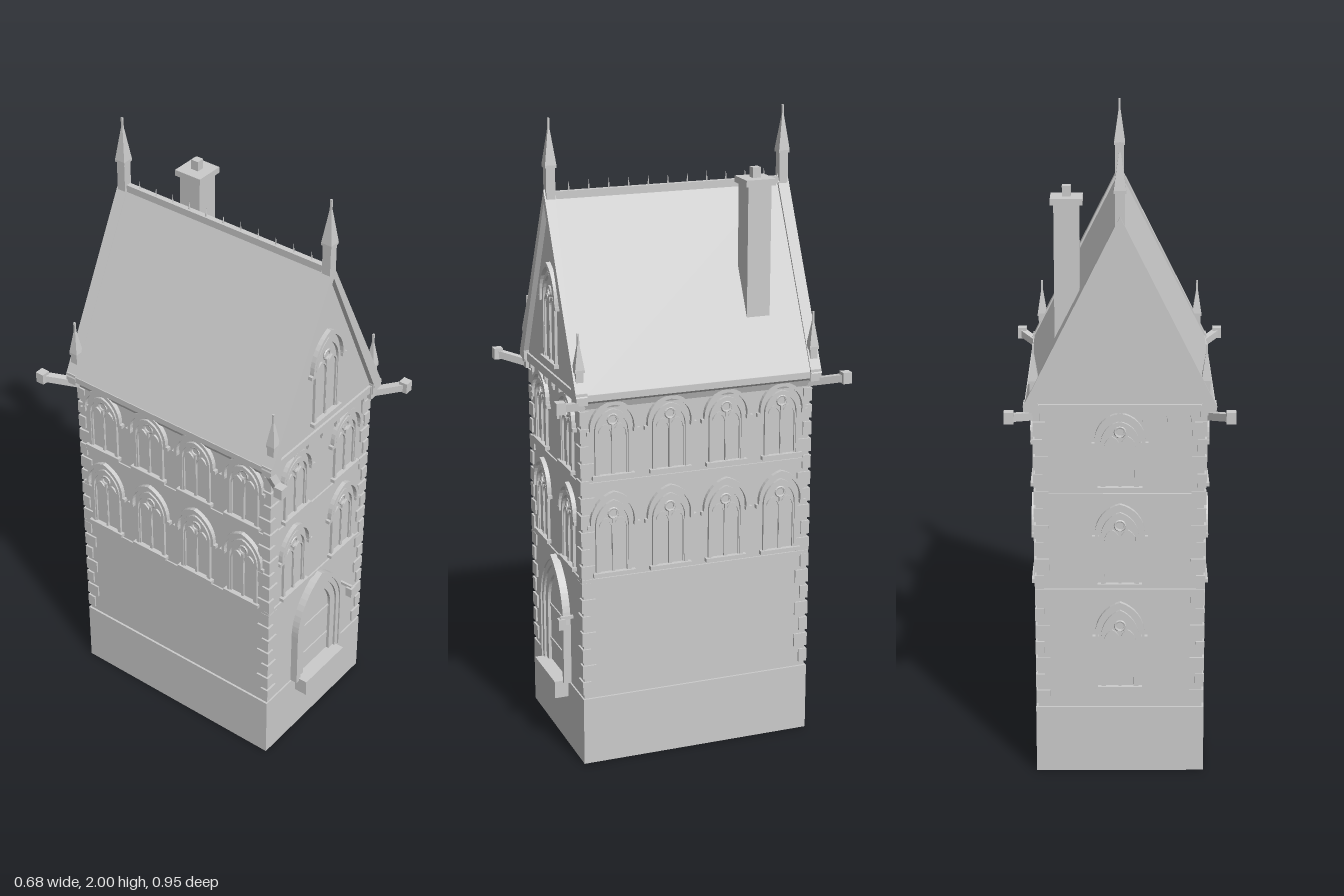
import * as THREE from 'three';

const mat = new THREE.MeshStandardMaterial({ color: 0xcccccc, flatShading: true });
const matDouble = new THREE.MeshStandardMaterial({ color: 0xcccccc, flatShading: true, side: THREE.DoubleSide });
const HX = 0.255, HZ = 0.375; // wall half sizes

function add(parent, name, geo, x = 0, y = 0, z = 0, m = mat) {
  const mesh = new THREE.Mesh(geo, m);
  mesh.name = name;
  mesh.position.set(x, y, z);
  parent.add(mesh);
  return mesh;
}

// Box given by its limits
function box(parent, name, x0, x1, y0, y1, z0, z1) {
  return add(parent, name, new THREE.BoxGeometry(x1 - x0, y1 - y0, z1 - z0),
    (x0 + x1) / 2, (y0 + y1) / 2, (z0 + z1) / 2);
}

function extrude(parent, name, shape, z0, z1) {
  const geo = new THREE.ExtrudeGeometry(shape, { depth: z1 - z0, bevelEnabled: false });
  return add(parent, name, geo, 0, 0, z0);
}

const poly = (pts) => new THREE.Shape(pts.map(([x, y]) => new THREE.Vector2(x, y)));

// Pointed arch outline: half width w, foot y0, spring line and peak
function arch(w, y0, spring, peak, n = 8) {
  const rise = peak - spring, R = (w * w + rise * rise) / (2 * w);
  const end = Math.asin(Math.min(1, rise / R)), side = [[w, y0]];
  for (let i = 0; i <= n; i++) {
    const a = (end * i) / n;
    side.push([i === n ? 0 : w - R + R * Math.cos(a), spring + R * Math.sin(a)]);
  }
  return side.concat(side.slice(0, -1).reverse().map(([x, y]) => [-x, y]));
}

// Arch band between two outlines; open at the foot when both start at y0
function archBand(parent, name, outer, inner, z0, z1) {
  return extrude(parent, name, poly(outer.concat(inner.slice().reverse())), z0, z1);
}

// Window facing local +z, sill at y = 0, hood peak at y = h
function makeWindow(h, w = 0.058) {
  const g = new THREE.Group();
  g.name = 'window';
  const spring = h * 0.6, peak = h - 0.028, iw = w - 0.01;
  archBand(g, 'windowFrame', arch(w, 0, spring, peak), arch(iw, 0, spring, peak - 0.014), -0.005, 0.009);
  archBand(g, 'hoodMould', arch(w + 0.018, spring, spring + 0.012, h),
    arch(w + 0.008, spring, spring + 0.012, h - 0.014), -0.005, 0.014);
  for (const s of [-1, 1]) {
    const x = s * (w + 0.017);
    box(g, 'hoodStop', x - 0.01, x + 0.01, spring - 0.008, spring + 0.004, -0.005, 0.014);
    // lancet tracery
    const lancet = new THREE.Group();
    lancet.name = 'lancet';
    lancet.position.x = s * iw / 2;
    archBand(lancet, 'lancetFrame', arch(iw / 2, 0, spring - 0.015, spring + 0.022, 5),
      arch(iw / 2 - 0.005, 0, spring - 0.015, spring + 0.015, 5), -0.004, 0.006);
    g.add(lancet);
  }
  add(g, 'oculus', new THREE.TorusGeometry(0.015, 0.004, 5, 14), 0, spring + 0.035, 0.003);
  box(g, 'mullion', -0.004, 0.004, 0, spring + 0.02, -0.004, 0.007);
  box(g, 'sill', -w - 0.01, w + 0.01, -0.004, 0.008, -0.005, 0.016);
  return g;
}

function placeWindow(parent, x, y, z, turn, h, w) {
  const g = makeWindow(h, w);
  g.position.set(x, y, z);
  g.rotation.y = turn;
  parent.add(g);
}

// Square shaft with a pyramid and a needle on top
function pinnacle(parent, name, x, z, half, y0, y1, y2, y3) {
  const g = new THREE.Group();
  g.name = name;
  g.position.set(x, 0, z);
  const square = (n, top, bottom, a, b) => {
    const geo = new THREE.CylinderGeometry(top * Math.SQRT2, bottom * Math.SQRT2, b - a, 4);
    add(g, n, geo.rotateY(Math.PI / 4), 0, (a + b) / 2, 0);
  };
  square('shaft', half * 0.8, half * 0.8, y0, y1);
  square('collar', half, half, y1 - 0.008, y1);
  square('spire', 0.002, half, y1, y2);
  square('needle', 0.003, 0.003, y2 - 0.015, y3);
  parent.add(g);
}

export function createModel() {
  const root = new THREE.Group();
  root.name = 'gothicHouse';

  // Plinth is an open frame; walls stand on top of it
  const frame = poly([[-0.262, -0.38], [0.262, -0.38], [0.262, 0.38], [-0.262, 0.38]]);
  frame.holes.push(new THREE.Path([[-0.258, -0.376], [-0.258, 0.376], [0.258, 0.376], [0.258, -0.376]]
    .map(([x, y]) => new THREE.Vector2(x, y))));
  const plinth = extrude(root, 'plinth', frame, 0, 0.22);
  plinth.rotation.x = -Math.PI / 2;
  plinth.material = matDouble;
  box(root, 'plinthTop', -0.261, 0.261, 0.217, 0.22, -0.379, 0.379);
  box(root, 'walls', -HX, HX, 0.22, 1.2, -HZ, HZ);
  for (const y of [0.606, 0.918])
    box(root, 'stringCourse', -HX - 0.005, HX + 0.005, y, y + 0.012, -HZ - 0.005, HZ + 0.005);

  // Alternating corner stones
  for (let i = 0; i < 17; i++) {
    const y = 0.235 + i * 0.055, lx = i % 2 ? 0.028 : 0.045, lz = i % 2 ? 0.045 : 0.028;
    for (const sx of [-1, 1]) for (const sz of [-1, 1]) {
      add(root, 'quoin', new THREE.BoxGeometry(lx, 0.043, lz),
        sx * (HX + 0.006 - lx / 2), y + 0.021, sz * (HZ + 0.006 - lz / 2));
    }
  }

  // Windows: [sill height, total height] per floor
  const floors = [[0.63, 0.268], [0.945, 0.242]];
  for (const [y, h] of floors) {
    for (const x of [-0.13, 0.13]) placeWindow(root, x, y, HZ, 0, h);
    for (const s of [-1, 1])
      for (let i = 0; i < 4; i++) placeWindow(root, s * HX, y, -0.279 + i * 0.185, s * Math.PI / 2, h);
    placeWindow(root, 0, y, -HZ, Math.PI, h);
  }
  placeWindow(root, 0, 0.285, -HZ, Math.PI, 0.292);
  placeWindow(root, 0, 1.248, 0.383, 0, 0.315, 0.062);

  // Door with stepped arches, planks, straps, step and lamp
  const door = new THREE.Group();
  door.name = 'door';
  root.add(door);
  const rings = [[0.125, 0.615, 0.4], [0.112, 0.6, 0.395], [0.096, 0.578, 0.388], [0.072, 0.545, 0.38]];
  for (let i = 0; i < 3; i++) {
    const [w, p, z] = rings[i], [w2, p2] = rings[i + 1];
    archBand(door, 'doorArch', arch(w, 0.22, 0.42, p, 12), arch(w2, 0.22, 0.42, p2, 12), 0.37, z);
  }
  extrude(door, 'doorLeaf', poly(arch(0.072, 0.22, 0.42, 0.545, 12)), 0.37, 0.378);
  for (const y of [0.29, 0.41]) box(door, 'doorStrap', -0.07, 0.07, y, y + 0.01, 0.37, 0.382);
  box(root, 'doorStep', -0.105, 0.105, 0.165, 0.222, 0.33, 0.425);
  box(root, 'lampBracket', 0.146, 0.154, 0.452, 0.462, 0.37, 0.418);
  box(root, 'lamp', 0.139, 0.161, 0.42, 0.455, 0.402, 0.425);

  // Eaves cornices, end cornices and corbels
  for (const s of [-1, 1]) {
    extrude(root, 'eavesCornice', poly([[0.24, 1.165], [0.262, 1.165], [0.27, 1.185], [0.285, 1.195],
      [0.285, 1.215], [0.24, 1.215]].map(([x, y]) => [s * x, y])), -0.395, 0.395);
    box(root, 'endCornice', -0.265, 0.265, 1.188, 1.215, s * 0.378 - 0.012, s * 0.378 + 0.012);
    for (let i = -3; i <= 3; i++) {
      box(root, 'corbel', i * 0.073 - 0.008, i * 0.073 + 0.008, 1.172, 1.19, s * 0.378 - 0.01, s * 0.378 + 0.01);
      box(root, 'corbelFoot', i * 0.073 - 0.005, i * 0.073 + 0.005, 1.158, 1.172, s * 0.376 - 0.007, s * 0.376 + 0.007);
    }
  }

  // Gable wall, roof covering and raised gable copings
  extrude(root, 'gable', poly([[-0.262, 1.2], [0.262, 1.2], [0, 1.755]]), -0.383, 0.383);
  const chevron = (x, y, top, xi, ti) => poly([[x, y], [0, top], [-x, y], [-xi, y], [0, ti], [xi, y]]);
  extrude(root, 'roof', chevron(0.282, 1.215, 1.768, 0.25, 1.72), -0.366, 0.366);
  for (const z of [-0.4, 0.364])
    extrude(root, 'gableCoping', chevron(0.289, 1.21, 1.785, 0.25, 1.745), z, z + 0.036);

  // Ridge strip with spikes
  box(root, 'ridge', -0.009, 0.009, 1.755, 1.778, -0.365, 0.365);
  for (let i = -5; i <= 5; i++)
    add(root, 'ridgeSpike', new THREE.ConeGeometry(0.0035, 0.035, 4), 0, 1.792, i * 0.064);

  // Pinnacles, kneelers and diagonal water spouts
  for (const sz of [-1, 1]) {
    pinnacle(root, 'gableFinial', 0, sz * 0.381, 0.018, 1.74, 1.86, 1.975, 2);
    for (const sx of [-1, 1]) {
      pinnacle(root, 'cornerPinnacle', sx * 0.256, sz * 0.381, 0.015, 1.2, 1.29, 1.375, 1.4);
      box(root, 'kneeler', sx * 0.265 - 0.022, sx * 0.265 + 0.022, 1.185, 1.222, sz * 0.381 - 0.018, sz * 0.381 + 0.018);
      const a = new THREE.Vector3(sx * 0.255, 1.175, sz * 0.37);
      const b = new THREE.Vector3(sx * 0.323, 1.198, sz * 0.458);
      const spout = add(root, 'spout', new THREE.BoxGeometry(0.023, 0.023, a.distanceTo(b)));
      spout.position.copy(a).lerp(b, 0.5);
      spout.lookAt(b);
      add(root, 'spoutHead', new THREE.BoxGeometry(0.029, 0.036, 0.029), sx * 0.327, 1.2, sz * 0.463);
    }
  }

  // Chimney
  box(root, 'chimneyStack', 0.12, 0.196, 1.365, 1.795, -0.261, -0.185);
  box(root, 'chimneyCap', 0.11, 0.206, 1.79, 1.81, -0.271, -0.175);
  box(root, 'chimneyPot', 0.145, 0.171, 1.81, 1.842, -0.236, -0.21);

  return root;
}
